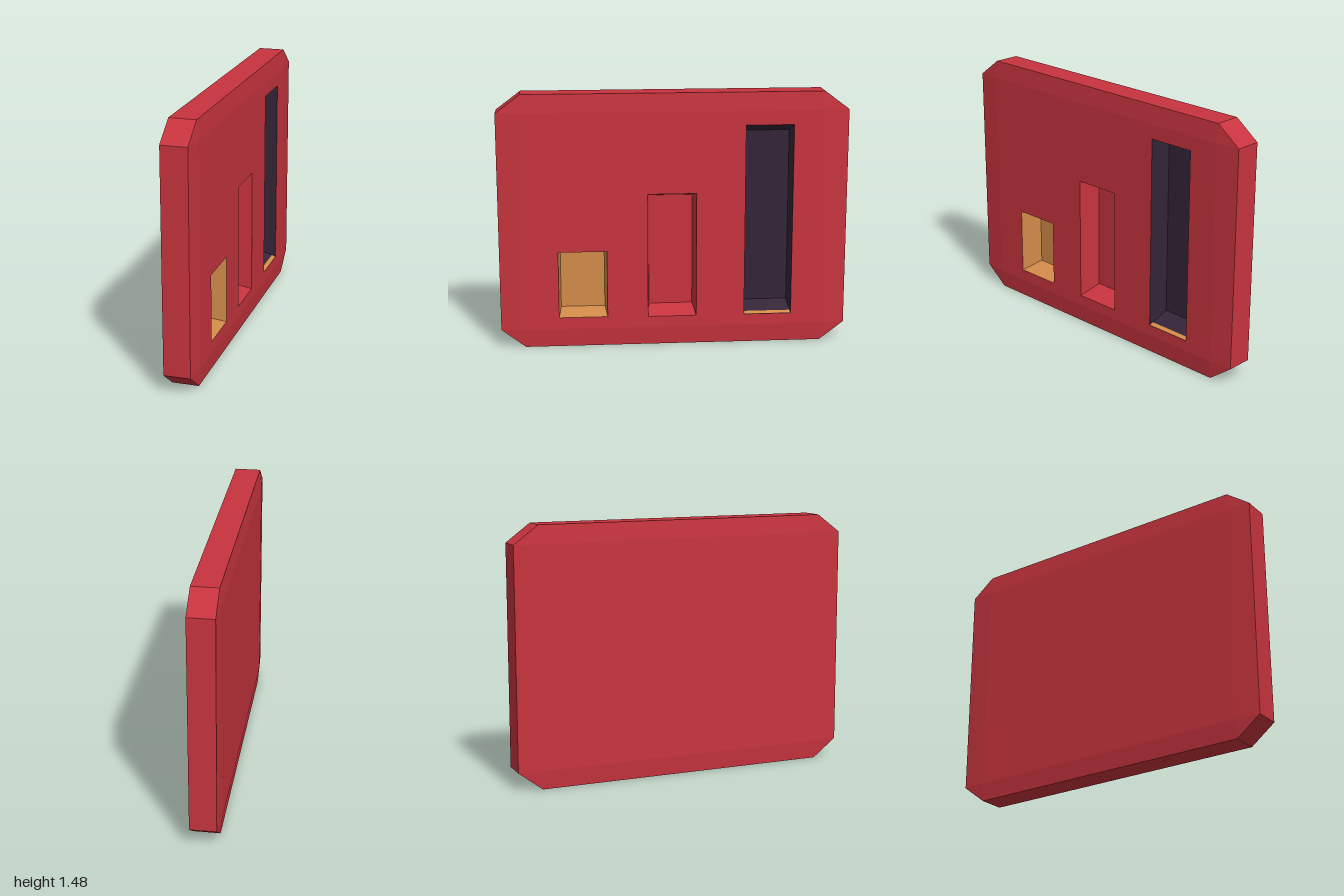
import * as THREE from 'three';

const mat = (name, color) => {
  const m = new THREE.MeshStandardMaterial({ color });
  m.name = name;
  return m;
};

// Rings are counter-clockwise lists of [u, y], placed at depth w
const rect = (u0, u1, y0, y1) => [[u0, y0], [u1, y0], [u1, y1], [u0, y1]];
const at = (ring, w) => ring.map(([u, y]) => new THREE.Vector3(u, y, w));

function quads(list) {
  const pts = list.flatMap(([a, b, c, d]) => [a, b, c, a, c, d]);
  const g = new THREE.BufferGeometry().setFromPoints(pts);
  g.computeVertexNormals();
  return g;
}

// Strip of flat faces joining two rings
const band = (a, b) => a.map((p, i) => {
  const j = (i + 1) % a.length;
  return [p, a[j], b[j], b[i]];
});

export function createModel() {
  const red = mat('red', 0xc8343e);
  const gold = mat('gold', 0xd38c49);
  const dark = mat('darkPurple', 0x342538);

  // Plate is drawn facing +z, then turned so its recessed face looks to +x
  const body = new THREE.Group();
  body.name = 'badge';
  body.rotation.y = Math.PI / 2;
  const add = (name, geometry, material) => {
    const m = new THREE.Mesh(geometry, material);
    m.name = name;
    body.add(m);
  };

  const H = 1.475, U = 0.86, Y0 = 0.107, Y1 = 1.37, EDGE = 0.075, FACE = 0.085;
  const outer = [[-U, 0], [U, 0], [1, Y0], [1, Y1], [U, H], [-U, H], [-1, Y1], [-1, Y0]];
  const inner = outer.map(([u, y]) => [
    THREE.MathUtils.clamp(u, -U, U), THREE.MathUtils.clamp(y, Y0, Y1)]);

  // Rim, shallow bevels and plain back
  add('rim', quads(band(at(outer, -EDGE), at(outer, EDGE))), red);
  add('frontBevel', quads(band(at(outer, EDGE), at(inner, FACE))), red);
  add('backBevel', quads(band(at(inner, -FACE), at(outer, -EDGE))), red);
  add('backFace', quads([at(rect(-U, U, Y0, Y1), -FACE).reverse()]), red);

  // Three rising bar recesses with slightly drafted walls
  const bars = [
    { name: 'shortBar', r: [-0.665, -0.385, 0.175, 0.565], du: 0.012, dy: 0.022, depth: 0.148, m: gold },
    { name: 'middleBar', r: [-0.15, 0.13, 0.17, 0.897], du: 0.013, dy: 0.036, depth: 0.142, m: red },
    { name: 'tallBar', r: [0.41, 0.685, 0.17, 1.287], du: 0.008, dy: 0.051, depth: 0.13, m: dark },
  ];
  const face = new THREE.Shape(rect(-U, U, Y0, Y1).map(p => new THREE.Vector2(...p)));
  for (const { name, r: [u0, u1, y0, y1], du, dy, depth, m } of bars) {
    const mouth = rect(u0, u1, y0, y1);
    const floor = at(rect(u0 + du, u1 - du, y0 + dy, y1 - dy), FACE - depth);
    face.holes.push(new THREE.Path(mouth.map(p => new THREE.Vector2(...p)).reverse()));
    add(name, quads([...band(at(mouth, FACE), floor), floor]), m);
  }
  add('frontFace', new THREE.ShapeGeometry(face).translate(0, 0, FACE), red);

  // Thin gold lip on the sill of the tall bar
  const v = (u, y, w) => new THREE.Vector3(u, y, w);
  add('sillLip', quads([[
    v(0.412, 0.172, FACE), v(0.683, 0.172, FACE),
    v(0.683, 0.182, 0.063), v(0.412, 0.182, 0.063)]]), gold);

  const model = new THREE.Group();
  model.add(body);
  return model;
}
